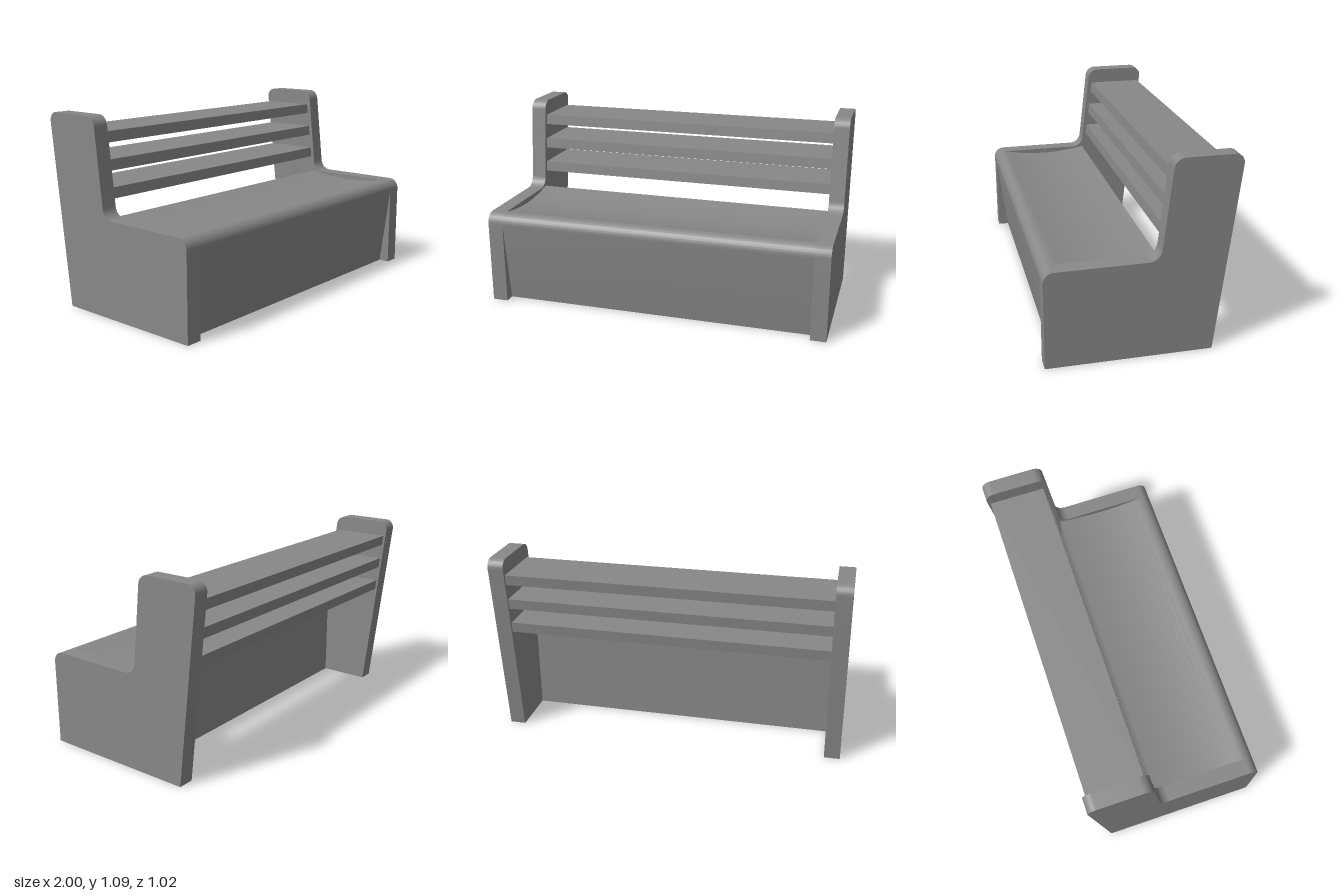
import * as THREE from 'three';
import { toCreasedNormals } from 'three/addons/utils/BufferGeometryUtils.js';

const material = new THREE.MeshStandardMaterial({ color: 0x888888 });

// Closed side profile from [z, y, cornerRadius] points
function profile(points) {
  const shape = new THREE.Shape();
  const n = points.length;
  const at = (i) => new THREE.Vector2(points[i][0], points[i][1]);
  points.forEach(([z, y, r = 0], i) => {
    const p = new THREE.Vector2(z, y);
    const toPrev = at((i + n - 1) % n).sub(p).normalize();
    const toNext = at((i + 1) % n).sub(p).normalize();
    const half = Math.acos(toPrev.dot(toNext)) / 2;
    const a = p.clone().addScaledVector(toPrev, r / Math.tan(half));
    if (i === 0) shape.moveTo(a.x, a.y);
    else shape.lineTo(a.x, a.y);
    if (r > 0) {
      const c = p.clone().addScaledVector(toPrev.clone().add(toNext).normalize(), r / Math.sin(half));
      const b = p.clone().addScaledVector(toNext, r / Math.tan(half));
      const clockwise = toPrev.cross(toNext) > 0;
      shape.absarc(c.x, c.y, r, Math.atan2(a.y - c.y, a.x - c.x), Math.atan2(b.y - c.y, b.x - c.x), clockwise);
    }
  });
  shape.closePath();
  return shape;
}

// Extrude a z-y profile along x, centred on the given x
function extrudeAlongX(name, points, width, x = 0) {
  let geometry = new THREE.ExtrudeGeometry(profile(points), { depth: width, bevelEnabled: false, curveSegments: 12 });
  geometry.translate(0, 0, -width / 2);
  geometry.rotateY(-Math.PI / 2);
  geometry = toCreasedNormals(geometry, 0.25);
  const mesh = new THREE.Mesh(geometry, material);
  mesh.name = name;
  mesh.position.x = x;
  return mesh;
}

export function createModel() {
  const bench = new THREE.Group();
  bench.name = 'bench';

  // Side panels
  const panelWidth = 0.09;
  const sidePoints = [
    [0.512, 0], [0.512, 0.545, 0.06], [-0.094, 0.545, 0.07],
    [-0.154, 1.09, 0.06], [-0.518, 1.09, 0.05], [-0.392, 0],
  ];
  for (const [name, side] of [['leftPanel', 1], ['rightPanel', -1]]) {
    bench.add(extrudeAlongX(name, sidePoints, panelWidth, side * (1 - panelWidth / 2)));
  }

  // Seat block: front leans in towards the floor, top is gently dished
  const innerWidth = 2 - 2 * panelWidth;
  const seatPoints = [[0.45, 0], [0.512, 0.48], [0.512, 0.545, 0.06]];
  const steps = 16;
  for (let i = 0; i <= steps; i++) {
    const t = i / steps;
    seatPoints.push([0.445 - 0.543 * t, 0.545 - 0.12 * t * (1 - t)]);
  }
  seatPoints.push([-0.098, 0]);
  bench.add(extrudeAlongX('seat', seatPoints, innerWidth));

  // Deep back slats, following the lean of the panels
  for (let i = 0; i < 3; i++) {
    const low = 0.64 + i * 0.15;
    const high = low + 0.06;
    const front = (y) => -0.126 - (y - 0.64) * 0.122;
    const back = (y) => -0.453 - (y - 0.64) * 0.111;
    bench.add(extrudeAlongX('backSlat' + (i + 1),
      [[front(low), low], [front(high), high], [back(high), high], [back(low), low]], innerWidth));
  }

  return bench;
}
